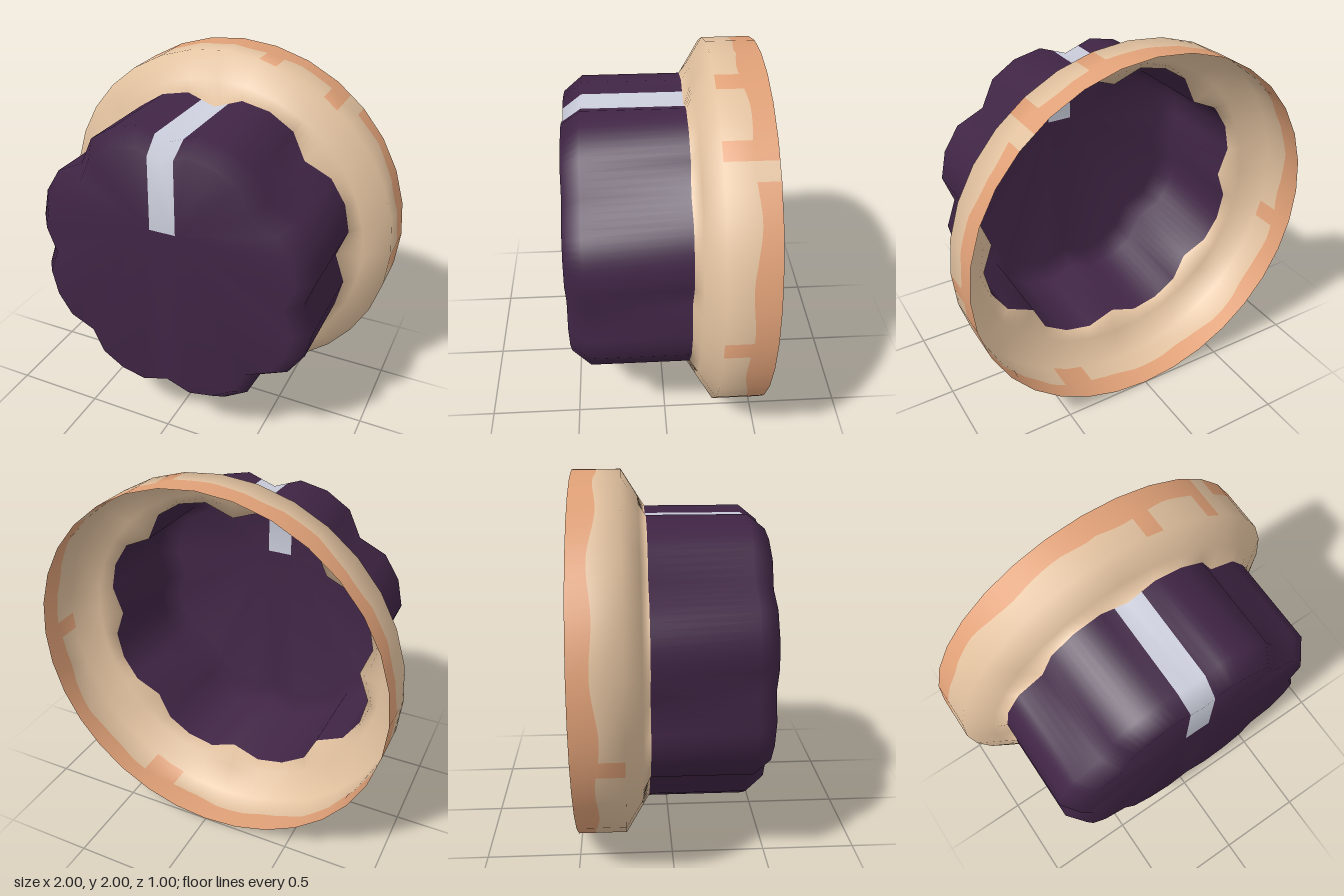
import * as THREE from 'three';

const SIDES = 32, SUB = 4, COLS = SIDES * SUB;
const STRIP = 2; // half width of the pointer, in columns
const LOBE = [0.73, 0.802, 0.815, 0.802]; // radii across one of the eight lobes

const mat = (name, color) =>
  new THREE.MeshStandardMaterial({ name, color, side: THREE.DoubleSide });

// Cross-sections from the open back to the face
const circle = (r) => () => r;
const lobed = (s) => (i) => LOBE[i % 4] * s;
const RINGS = [
  { z: -0.5, r: circle(1) },
  { z: -0.385, r: circle(1), wave: 0.012 }, // uneven edge of the rim colour
  { z: -0.245, r: circle(1) },
  { z: -0.16, r: circle(0.865) },
  { z: -0.12, r: lobed(1) },
  { z: 0.4, r: lobed(1) },
  { z: 0.5, r: lobed(0.9) },
];

// Column ranges where the rim colour drips forward, or is broken by a gap
const DRIPS = [[4, 5], [12, 13], [32, 33], [54, 57], [90, 91]];
const GAPS = [[14, 15]];
const within = (ranges, k) => ranges.some(([a, b]) => k >= a && k <= b);

function corner(ring, i) {
  const a = ((i % SIDES) / SIDES) * Math.PI * 2;
  const r = ring.r(i % SIDES);
  return new THREE.Vector3(Math.sin(a) * r, 1 + Math.cos(a) * r, ring.z);
}

export function createModel() {
  const positions = [];
  const faces = { knob: [], pointer: [], skirt: [], rim: [] };
  const id = (j, k) => j * COLS + ((k + COLS) % COLS);

  // Ring vertices, with straight chords between the main corners
  for (const ring of RINGS) {
    for (let k = 0; k < COLS; k++) {
      const i = Math.floor(k / SUB);
      const p = corner(ring, i).lerp(corner(ring, i + 1), (k % SUB) / SUB);
      if (ring.wave) p.z += ring.wave * (Math.sin(k * 0.55) + Math.sin(k * 0.21 + 1));
      positions.push(p.x, p.y, p.z);
    }
  }

  // Side walls, sorted by colour
  const partOf = (j, k) => {
    if (j === 0) return within(GAPS, k) ? 'skirt' : 'rim';
    if (j === 1) return within(DRIPS, k) ? 'rim' : 'skirt';
    if (j < 4) return 'skirt';
    return k < STRIP || k >= COLS - STRIP ? 'pointer' : 'knob';
  };
  for (let j = 0; j < RINGS.length - 1; j++) {
    for (let k = 0; k < COLS; k++) {
      const a = id(j, k), b = id(j, k + 1), c = id(j + 1, k + 1), d = id(j + 1, k);
      faces[partOf(j, k)].push(a, d, c, a, c, b);
    }
  }

  // Flat face, fanned from the two inner corners of the pointer
  const top = RINGS.length - 1;
  const R = positions.length / 3, L = R + 1;
  positions.push(0.072, 1.28, 0.5, -0.072, 1.28, 0.5);
  const half = COLS / 2;
  for (let k = STRIP; k < COLS - STRIP; k++)
    faces.knob.push(k < half ? R : L, id(top, k + 1), id(top, k));
  faces.knob.push(R, L, id(top, half));
  for (let k = -STRIP; k < STRIP; k++) faces.pointer.push(R, id(top, k + 1), id(top, k));
  faces.pointer.push(R, id(top, -STRIP), L);

  // Smooth normals over the whole shell, blended between main corners
  const shell = new THREE.BufferGeometry();
  shell.setAttribute('position', new THREE.Float32BufferAttribute(positions, 3));
  shell.setIndex(Object.values(faces).flat());
  shell.computeVertexNormals();
  const normal = shell.attributes.normal;
  const n0 = new THREE.Vector3(), n1 = new THREE.Vector3();
  for (let j = 0; j < RINGS.length; j++) {
    for (let k = 0; k < COLS; k++) {
      const f = k % SUB;
      if (!f) continue;
      n0.fromBufferAttribute(normal, id(j, k - f));
      n1.fromBufferAttribute(normal, id(j, k - f + SUB));
      n0.lerp(n1, f / SUB).normalize();
      normal.setXYZ(id(j, k), n0.x, n0.y, n0.z);
    }
  }

  // One mesh per coloured part, sharing the shell's vertices
  const materials = {
    knob: mat('dark purple', 0x402545),
    pointer: mat('pale grey', 0xc9ccd9),
    skirt: mat('tan', 0xe0c09e),
    rim: mat('worn orange', 0xdfa077),
  };
  const group = new THREE.Group();
  group.name = 'controlKnob';
  for (const [name, index] of Object.entries(faces)) {
    const geo = new THREE.BufferGeometry();
    geo.setAttribute('position', shell.attributes.position);
    geo.setAttribute('normal', normal);
    geo.setIndex(index);
    const mesh = new THREE.Mesh(geo, materials[name]);
    mesh.name = name;
    group.add(mesh);
  }
  return group;
}
